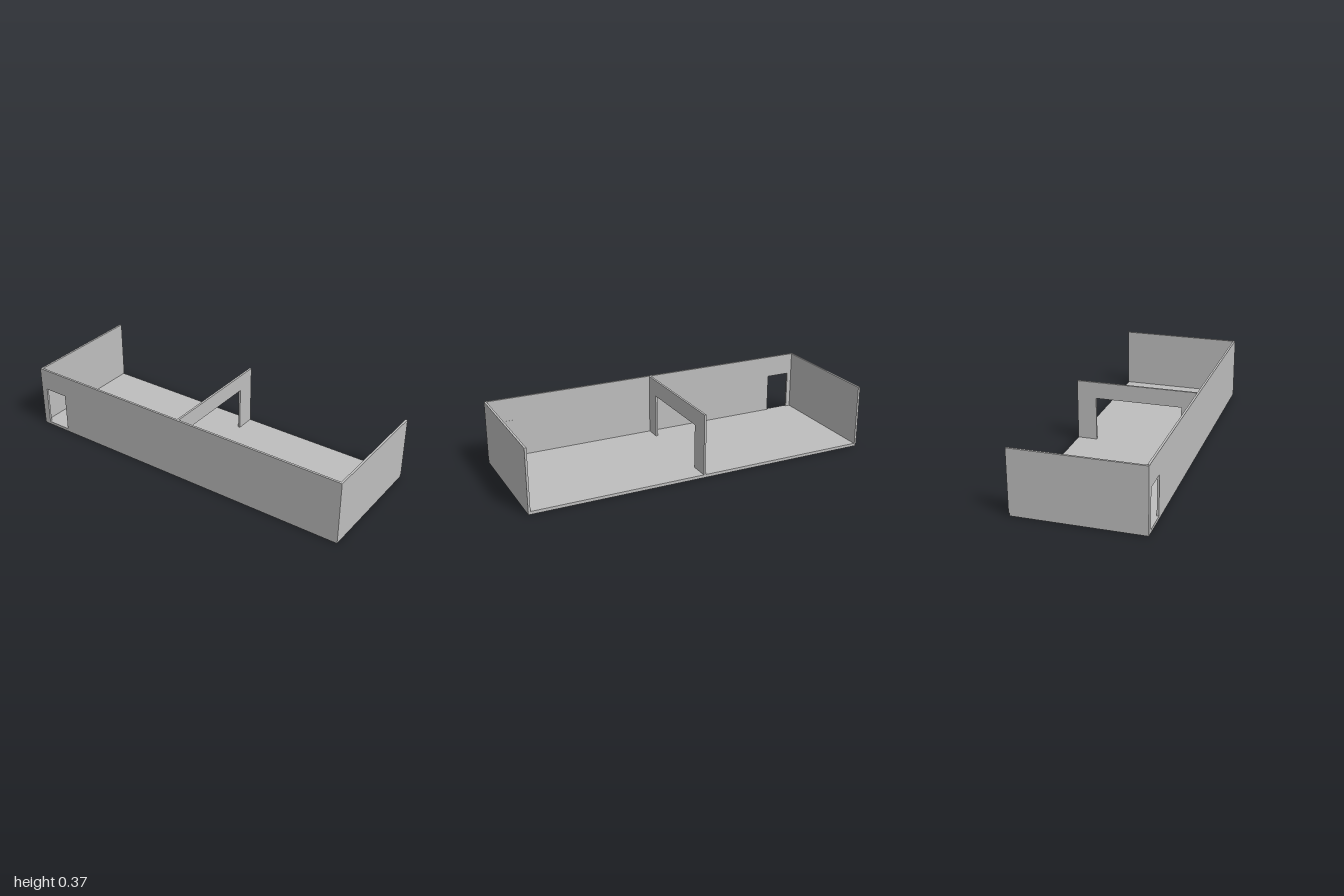
import * as THREE from 'three';

const FLOOR = 0.017, TOP = 0.366, LEFT = -0.36, RIGHT = 0.358, WALL = 0.012;

export function createModel() {
  const group = new THREE.Group();
  const grey = new THREE.MeshStandardMaterial({ color: 0xbebebe });
  grey.name = 'plaster grey';

  const add = (name, geometry) => {
    const mesh = new THREE.Mesh(geometry, grey);
    mesh.name = name;
    group.add(mesh);
  };

  // Box given by its lowest and highest corners
  const box = (name, x0, x1, y0, y1, z0, z1) => {
    const geometry = new THREE.BoxGeometry(x1 - x0, y1 - y0, z1 - z0);
    geometry.translate((x0 + x1) / 2, (y0 + y1) / 2, (z0 + z1) / 2);
    add(name, geometry);
  };

  // Upright wall with a doorway that is open down to the floor
  const wallWithDoor = (a, b, top, doorA, doorB, doorTop, depth) => {
    const shape = new THREE.Shape([
      [a, FLOOR], [doorA, FLOOR], [doorA, doorTop], [doorB, doorTop],
      [doorB, FLOOR], [b, FLOOR], [b, top], [a, top],
    ].map(([x, y]) => new THREE.Vector2(x, y)));
    return new THREE.ExtrudeGeometry(shape, { depth, bevelEnabled: false });
  };

  // Floor slab
  box('floor', LEFT, 0.354, 0, FLOOR, -0.999, 0.999);

  // End walls
  box('frontWall', LEFT, RIGHT, FLOOR, TOP, 1 - WALL, 1);
  box('backWall', LEFT, RIGHT, FLOOR, TOP, -1, -1 + WALL);

  // Long side wall, with its doorway near the back
  const side = wallWithDoor(-1 + WALL, 1 - WALL, TOP + 0.001, 0.82, 0.962, 0.24, WALL);
  side.rotateY(Math.PI / 2).translate(LEFT, 0, 0);
  add('sideWall', side);

  // Closed door, almost flush with the inside of the side wall
  box('closedDoor', LEFT + WALL, LEFT + WALL + 0.001, FLOOR, 0.235, 0.84, 0.97);

  // Middle partition with a wide opening
  const partition = wallWithDoor(LEFT + WALL, 0.354, TOP, -0.26, 0.242, 0.27, WALL);
  partition.translate(0, 0, -0.007);
  add('partition', partition);

  return group;
}
